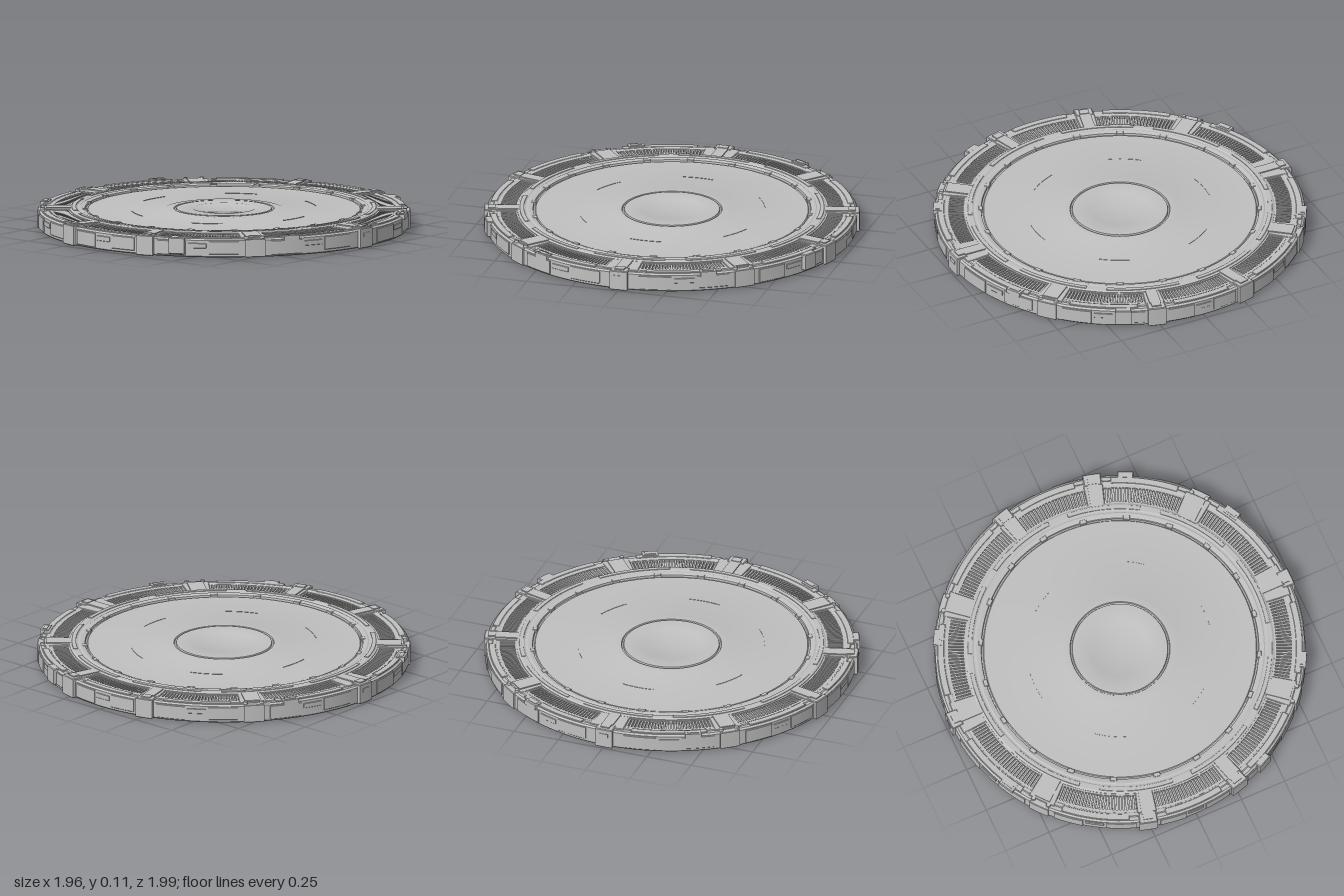
import * as THREE from 'three';
import { toCreasedNormals } from 'three/addons/utils/BufferGeometryUtils.js';

const D = Math.PI / 180;
const metal = new THREE.MeshStandardMaterial({ color: 0xc0c0c0 });
metal.name = 'pale grey metal';

export function createModel() {
  const model = new THREE.Group();
  model.name = 'roundPlatform';

  const add = (name, geometry) => {
    const mesh = new THREE.Mesh(toCreasedNormals(geometry, 0.4), metal);
    mesh.name = name;
    model.add(mesh);
    return mesh;
  };

  // Curved block between two radii, two angles (degrees) and two heights
  const sector = (name, r0, r1, a0, a1, y0, y1, bevel = 0) => {
    const s = new THREE.Shape();
    s.absarc(0, 0, r1 - bevel, a0 * D, a1 * D, false);
    s.absarc(0, 0, r0 + bevel, a1 * D, a0 * D, true);
    s.closePath();
    const g = new THREE.ExtrudeGeometry(s, {
      depth: y1 - y0 - bevel, curveSegments: Math.max(2, Math.ceil((a1 - a0) / 3)),
      bevelEnabled: bevel > 0, bevelSize: bevel, bevelThickness: bevel, bevelSegments: 1,
    });
    g.rotateX(-Math.PI / 2);
    g.translate(0, y0, 0);
    return add(name, g);
  };

  // Box whose length runs along the radius
  const radialBox = (name, r, angle, y, len, h, w) => {
    const m = add(name, new THREE.BoxGeometry(len, h, w));
    m.position.set(r * Math.cos(angle * D), y, -r * Math.sin(angle * D));
    m.rotation.y = angle * D;
    return m;
  };

  // Turned body: underside, outer wall, grille channel, raised lip and floor
  const profile = [
    [0, 0], [0.968, 0], [0.974, 0.006], [0.974, 0.09], [0.964, 0.098], [0.945, 0.098],
    [0.94, 0.102], [0.925, 0.102], [0.915, 0.096], [0.915, 0.084], [0.815, 0.084],
    [0.815, 0.104], [0.805, 0.11], [0.778, 0.11], [0.772, 0.106], [0.764, 0.106],
    [0.758, 0.109], [0.74, 0.107], [0.732, 0.104], [0.73, 0.093], [0.722, 0.093],
    [0.718, 0.098], [0.315, 0.099], [0.308, 0.101], [0.264, 0.102], [0.261, 0.095],
    [0.254, 0.095], [0.251, 0.103], [0.165, 0.103], [0.16, 0.101], [0, 0.101],
  ].map(([x, y]) => new THREE.Vector2(x, y));
  add('body', new THREE.LatheGeometry(profile, 144));

  // Ten grille bays, mirrored into all four quarters
  const bays = [
    [-12.5, 12.5], [18.5, 46], [54.5, 84.5], [95.5, 125.5], [134, 161.5],
    [167.5, 192.5], [198.5, 226], [234.5, 264.5], [275.5, 305.5], [314, 341.5],
  ];
  bays.forEach(([a0, a1]) => {
    const n = Math.round((a1 - a0) / 1.15);
    for (let i = 0; i < n; i++) {
      const a = a0 + ((i + 0.5) * (a1 - a0)) / n;
      radialBox('grilleSlat', 0.864, a, 0.09, 0.082, 0.016, 0.009);
    }
    // Frame strips around the slats
    sector('grilleOuterFrame', 0.904, 0.92, a0, a1, 0.08, 0.1);
    sector('grilleInnerFrame', 0.812, 0.825, a0, a1, 0.08, 0.101);
    // Rim cover and side wall panels
    const span = a1 - a0;
    sector('rimPlate', 0.928, 0.962, a0 + 3, a1 - 3, 0.09, 0.105, 0.002);
    sector('wallPanel', 0.96, 0.98, a0 + 1, a0 + span * 0.36, 0.012, 0.086, 0.003);
    sector('wallPanel', 0.96, 0.979, a0 + span * 0.64, a1 - 1, 0.02, 0.088, 0.003);
    sector('wallRail', 0.96, 0.978, a0 + span * 0.4, a0 + span * 0.6, 0.05, 0.075, 0.002);
  });

  // Broad ribs between the bays, each with a raised saddle and an end clamp
  bays.forEach(([, a1], i) => {
    const next = bays[(i + 1) % bays.length][0] + (i === bays.length - 1 ? 360 : 0);
    const mid = (a1 + next) / 2;
    const half = (next - a1) / 2;
    sector('rib', 0.808, 0.95, a1, next, 0.08, 0.103, 0.003);
    const diagonal = half > 4 && Math.abs(Math.sin(mid * D)) < 0.9;
    radialBox('ribSaddle', 0.872, mid, 0.1, 0.13, 0.018, diagonal ? 0.085 : 0.06);
    if (diagonal) {
      // Pair of bolts on the outer edge of each diagonal rib
      [-2.6, 2.6].forEach((off) => {
        const bolt = add('ribBolt', new THREE.CylinderGeometry(0.011, 0.013, 0.016, 12));
        const a = (mid + off) * D;
        bolt.position.set(0.955 * Math.cos(a), 0.102, -0.955 * Math.sin(a));
      });
      sector('wallClamp', 0.95, 0.982, mid - 3, mid + 3, 0.004, 0.098, 0.003);
    } else {
      sector('endClamp', 0.925, 0.99, mid - 2.6, mid + 2.6, 0.002, 0.106, 0.004);
      radialBox('clampCap', 0.95, mid, 0.106, 0.04, 0.012, 0.05);
    }
  });

  // Vent boxes on the rim
  [62, 118, 242, 298].forEach((a) => {
    radialBox('ventBox', 0.962, a, 0.096, 0.044, 0.026, 0.085);
    radialBox('ventCap', 0.962, a, 0.11, 0.022, 0.005, 0.06);
  });

  // Side blocks toward the front
  [-26, 206].forEach((a) => sector('sideBlock', 0.94, 0.995, a - 2.2, a + 2.2, 0.02, 0.104, 0.004));

  // Small hatch at the middle of the front and back
  [90, 270].forEach((a) => radialBox('wallHatch', 0.985, a, 0.07, 0.016, 0.022, 0.05));

  // Clips around the inside of the lip
  for (let i = 0; i < 20; i++) {
    const a = i * 18 + 9;
    sector('lipClip', 0.722, 0.746, a - 1.3, a + 1.3, 0.09, 0.109, 0.002);
  }

  // Raised segments along the top of the lip
  for (let i = 0; i < 10; i++) {
    sector('lipPlate', 0.78, 0.803, i * 36 + 4, i * 36 + 32, 0.105, 0.113, 0.001);
  }

  // Thin inlay arcs on the floor
  for (let i = 0; i < 6; i++) {
    sector('floorInlay', 0.49, 0.494, i * 60 + 20, i * 60 + 40, 0.095, 0.1005);
  }
  return model;
}
